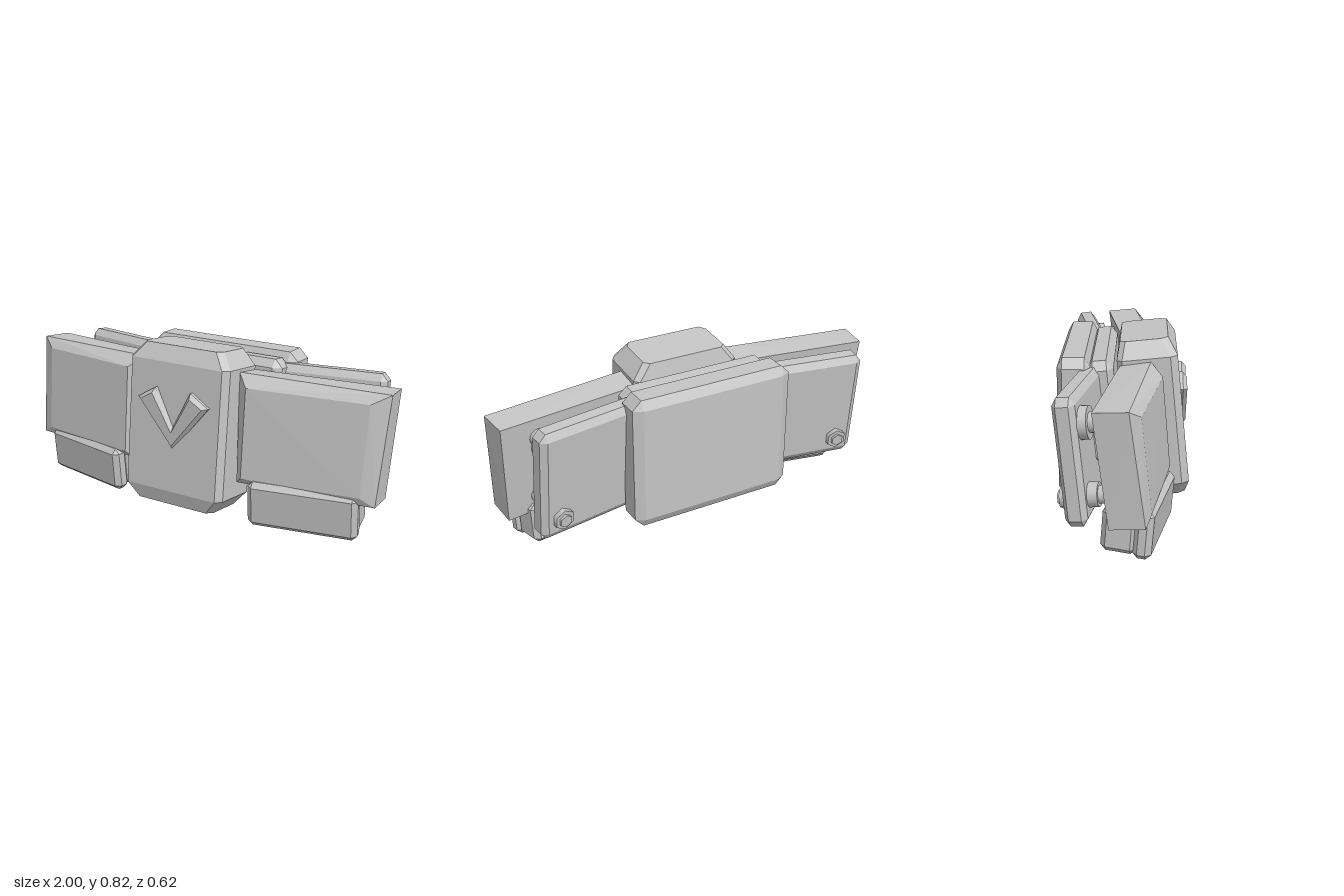
import * as THREE from 'three';
import { ConvexGeometry } from 'three/addons/geometries/ConvexGeometry.js';

const grey = new THREE.MeshStandardMaterial({ color: 0xc4c4c4 });
grey.name = 'lightGrey';

function part(name, geometry, parent, position = [0, 0, 0]) {
  const mesh = new THREE.Mesh(geometry, grey);
  mesh.name = name;
  mesh.position.set(...position);
  parent.add(mesh);
  return mesh;
}

function hull(points) {
  return new ConvexGeometry(points.map((p) => new THREE.Vector3(...p)));
}

// Box with every edge chamfered; bx, by, bz are the insets along each axis
function chamferBox(w, h, d, bx, by = bx, bz = bx) {
  const points = [];
  for (const x of [-w / 2, w / 2]) for (const y of [-h / 2, h / 2]) for (const z of [-d / 2, d / 2]) {
    const ix = x - Math.sign(x) * bx, iy = y - Math.sign(y) * by, iz = z - Math.sign(z) * bz;
    points.push([x, iy, iz], [ix, y, iz], [ix, iy, z]);
  }
  return hull(points);
}

// Group leaning by tilt and swept back by yaw
function tilted(name, parent, position, tilt, yaw = 0) {
  const group = new THREE.Group();
  group.name = name;
  group.position.set(...position);
  group.rotation.set(tilt, yaw, 0, 'YXZ');
  parent.add(group);
  return group;
}

// Central buckle: rings of chamfered rectangles, given as [y, half width, back, front]
function buckleGeometry() {
  const points = [];
  const c = 0.025;
  for (const [y, x, back, front] of [
    [0.388, 0.22, -0.12, 0.107], [0.31, 0.28, -0.142, 0.144],
    [-0.32, 0.28, -0.142, 0.144], [-0.392, 0.22, -0.12, 0.12],
  ]) {
    for (const s of [-1, 1]) {
      points.push([s * x, y, back + c], [s * (x - c), y, back], [s * x, y, front - c * 1.4], [s * (x - c), y, front]);
    }
  }
  return hull(points);
}

// Raised chevron on the buckle
function chevronGeometry() {
  const shape = new THREE.Shape([
    [-0.2, 0.57], [0, 0.33], [0.2, 0.57], [0.1, 0.63], [0, 0.447], [-0.1, 0.63],
  ].map(([x, y]) => new THREE.Vector2(x, y)));
  return new THREE.ExtrudeGeometry(shape, {
    depth: 0.06, bevelEnabled: true, bevelThickness: 0.02, bevelSize: 0.018, bevelOffset: -0.018, bevelSegments: 1,
  });
}

// Tapered side panel with a bevelled front
function wingGeometry(s) {
  return hull([
    [0.98, 0.7, -0.115], [0.96, 0.185, -0.05], [0.28, 0.705, -0.02], [0.3, 0.195, 0.045],
    [1, 0.71, 0.035], [0.975, 0.195, 0.105], [0.275, 0.725, 0.125], [0.3, 0.2, 0.185],
    [0.92, 0.665, 0.085], [0.91, 0.235, 0.13], [0.34, 0.67, 0.18], [0.34, 0.235, 0.218],
  ].map(([x, y, z]) => [s * x, y, z]));
}

// Cylinder whose axis runs front to back
function peg(radius, length, sides) {
  return new THREE.CylinderGeometry(radius, radius, length, sides).rotateX(Math.PI / 2);
}

export function createModel() {
  const model = new THREE.Group();
  model.name = 'beltBuckle';

  // Centre
  const buckle = tilted('buckle', model, [0, 0.43, 0.137], -0.1);
  part('buckleBody', buckleGeometry(), buckle);
  part('chevron', chevronGeometry(), model, [0, 0, 0.22]);
  const core = tilted('core', model, [0, 0.445, -0.083], -0.1);
  part('coreBlock', chamferBox(0.78, 0.61, 0.125, 0.04, 0.04, 0.03), core);
  part('rearBlock', chamferBox(0.84, 0.67, 0.152, 0.045, 0.045, 0.025), model, [0, 0.435, -0.229]);

  for (const s of [1, -1]) {
    const side = s > 0 ? 'left' : 'right';

    part(side + 'Wing', wingGeometry(s), model);

    // Two-layer pouch below the wing
    const pouch = tilted(side + 'Pouch', model, [s * 0.643, 0.12, 0.183], 0.08, s * 0.2);
    part('pouchFront', chamferBox(0.53, 0.226, 0.085, 0.025), pouch, [0, 0, -0.042]);
    part('pouchBack', chamferBox(0.515, 0.205, 0.16, 0.025), pouch, [0, 0, -0.147]);

    // Swept rear plate
    const plate = tilted(side + 'RearPlate', model, [s * 0.595, 0.435, -0.172], -0.1, s * 0.17);
    part('plateBody', chamferBox(0.56, 0.575, 0.1, 0.03, 0.035, 0.022), plate);

    // Spacers between the wing and the plate
    part('upperSpacer', peg(0.073, 0.045, 24), plate, [s * 0.18, 0.155, 0.065]);
    part('upperPin', peg(0.045, 0.09, 24), plate, [s * 0.18, 0.155, 0.1]);
    part('lowerSpacer', peg(0.055, 0.06, 24), plate, [s * 0.18, -0.17, 0.065]);
    part('lowerPin', peg(0.04, 0.1, 24), plate, [s * 0.18, -0.17, 0.1]);
    part('spacerBar', chamferBox(0.2, 0.17, 0.1, 0.015), plate, [s * -0.1, 0, 0.075]);

    // Hexagonal bolt on the back
    part('boltHead', peg(0.052, 0.03, 6), plate, [s * 0.18, -0.18, -0.06]);
    part('boltCap', peg(0.032, 0.015, 6), plate, [s * 0.18, -0.18, -0.08]);
  }
  return model;
}
